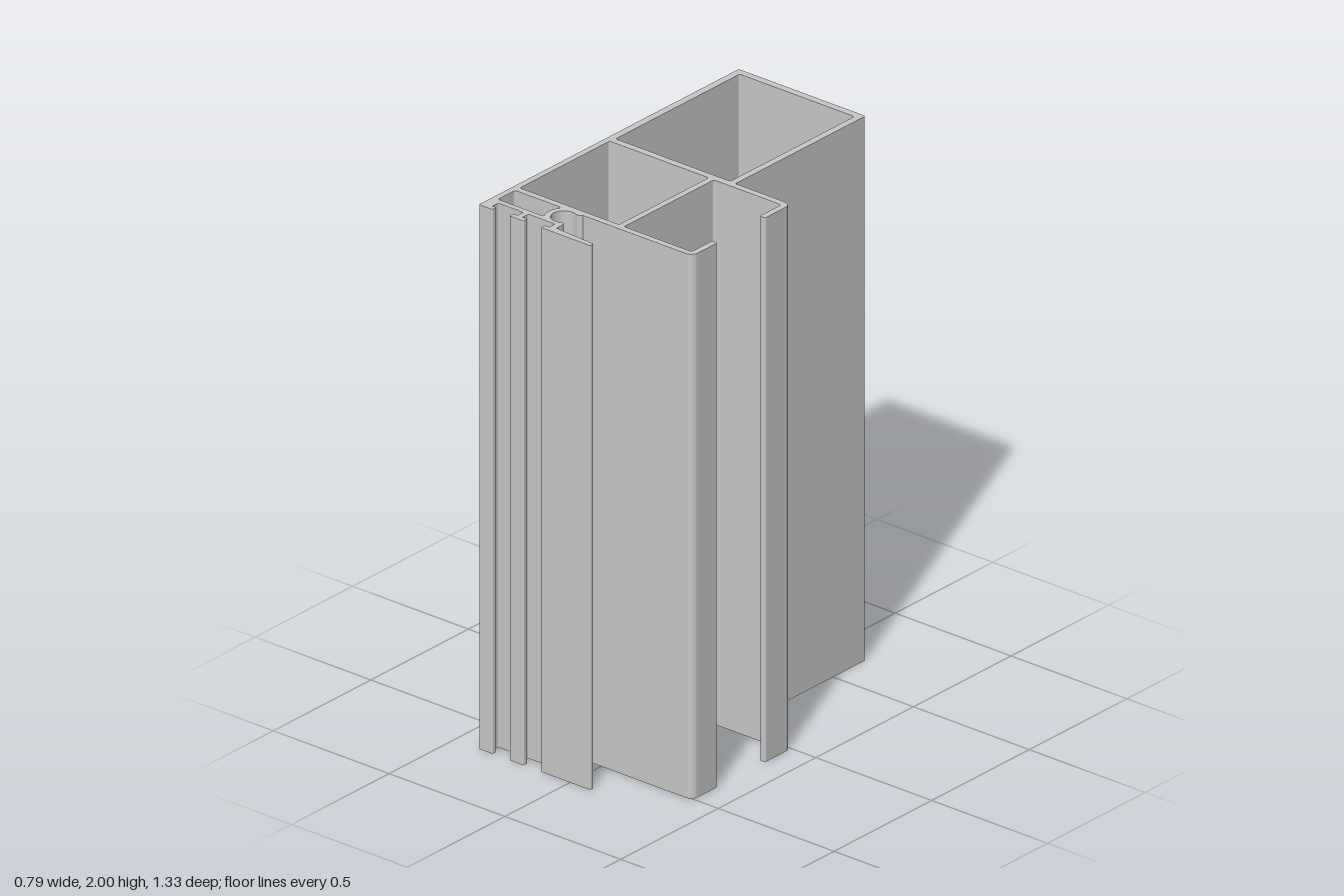
import * as THREE from 'three';

const HEIGHT = 2;

// Trace [x, z, cornerRadius] points into a closed path; a radius rounds that corner.
function trace(path, pts) {
  const v = pts.map(([x, z]) => new THREE.Vector2(x, -z));
  const n = v.length;
  const toward = (a, b, d) => a.clone().add(b.clone().sub(a).setLength(d));
  v.forEach((p, i) => {
    const r = pts[i][2] || 0;
    const start = r ? toward(p, v[(i + n - 1) % n], r) : p;
    if (i === 0) path.moveTo(start.x, start.y);
    else path.lineTo(start.x, start.y);
    if (r) {
      const end = toward(p, v[(i + 1) % n], r);
      // cubic approximation of a circular fillet
      const c1 = start.clone().lerp(p, 0.5523), c2 = end.clone().lerp(p, 0.5523);
      path.bezierCurveTo(c1.x, c1.y, c2.x, c2.y, end.x, end.y);
    }
  });
  path.closePath();
  return path;
}

// Points on an arc in the x/z plane, angles in degrees
function arc(cx, cz, r, from, to, steps) {
  return Array.from({ length: steps + 1 }, (_, i) => {
    const a = THREE.MathUtils.degToRad(from + (to - from) * i / steps);
    return [cx + r * Math.cos(a), cz + r * Math.sin(a)];
  });
}

// Holes run opposite to the outline so their walls face into the chambers
const box = (x0, z0, x1, z1, r) => [[x0, z0, r], [x0, z1, r], [x1, z1, r], [x1, z0, r]];

// Foot of a T-slot: one stem going down from the web and back up
const foot = (xr, stemR, xl, stemL) => [
  [stemR, 0.616, 0.005], [stemR, 0.646], [xr, 0.646, 0.005], [xr, 0.666, 0.005],
  [xl, 0.666, 0.005], [xl, 0.646, 0.005], [stemL, 0.646], [stemL, 0.616, 0.005],
];

export function createModel() {
  const aluminium = new THREE.MeshStandardMaterial({ color: 0xc7c7c7 });
  const screw = [-0.12, 0.555];

  const outline = trace(new THREE.Shape(), [
    // rear chamber
    [-0.394, -0.666, 0.007], [0.153, -0.666, 0.007], [0.153, 0],
    // rear hooked lip
    [0.394, 0, 0.028], [0.394, 0.134, 0.006], [0.371, 0.134, 0.006], [0.371, 0.024, 0.01],
    // open side channel
    [0.08, 0.024, 0.008], [0.08, 0.484, 0.008],
    // front hooked lip
    [0.371, 0.484, 0.01], [0.371, 0.379, 0.006], [0.394, 0.379, 0.006], [0.394, 0.507, 0.028],
    // screw port
    [-0.078, 0.507], [-0.085, 0.517, 0.004],
    ...arc(...screw, 0.044, -62, -298, 24),
    [-0.092, 0.592, 0.003], [-0.084, 0.6, 0.004],
    // front flange
    [-0.084, 0.637, 0.006], [0.087, 0.648, 0.004], [0.087, 0.666, 0.004],
    [-0.126, 0.666, 0.005], [-0.126, 0.646, 0.005], [-0.107, 0.646], [-0.107, 0.616, 0.005],
    // gasket slots
    ...foot(-0.201, -0.222, -0.263, -0.244),
    [-0.352, 0.616, 0.005], [-0.352, 0.646], [-0.335, 0.646, 0.005], [-0.335, 0.666, 0.005],
    [-0.394, 0.666, 0.005],
  ]);

  // closed chambers
  outline.holes.push(
    trace(new THREE.Path(), box(-0.367, -0.639, 0.128, -0.003, 0.008)),
    trace(new THREE.Path(), box(-0.371, 0.023, 0.057, 0.483, 0.008)),
    trace(new THREE.Path(), [
      [-0.371, 0.507, 0.008], [-0.371, 0.595, 0.008], [-0.178, 0.595, 0.004],
      ...arc(...screw, 0.066, 146, 218, 10),
      [-0.178, 0.507, 0.004],
    ]),
  );

  const geometry = new THREE.ExtrudeGeometry(outline, {
    depth: HEIGHT, bevelEnabled: false, curveSegments: 6,
  });
  geometry.rotateX(-Math.PI / 2);

  const profile = new THREE.Mesh(geometry, aluminium);
  profile.name = 'extrudedFrameProfile';
  const group = new THREE.Group();
  group.name = 'frameProfile';
  group.add(profile);
  return group;
}
